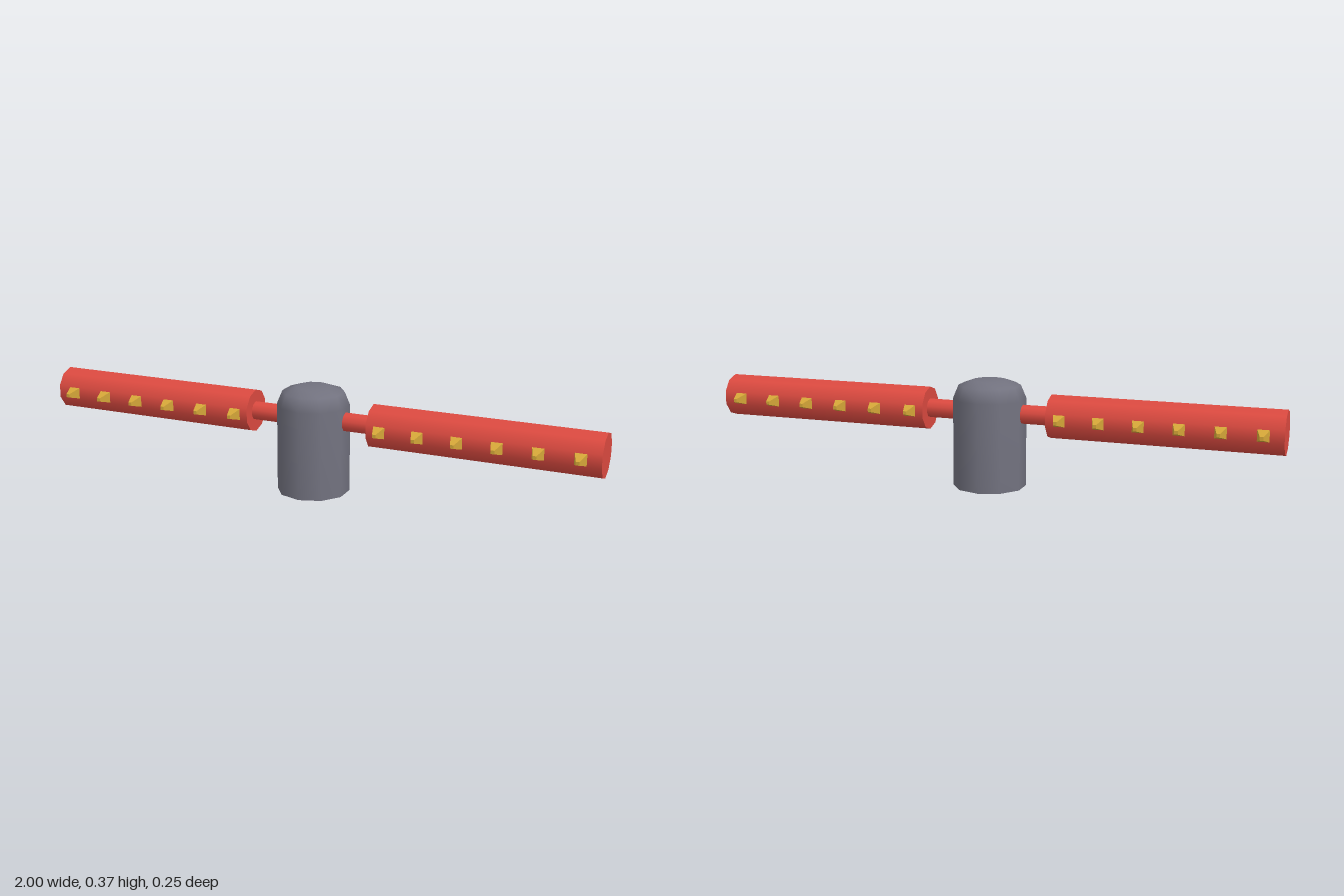
import * as THREE from 'three';

const SIDES = 10;
const AXIS_Y = 0.259;

const grey = new THREE.MeshStandardMaterial({ color: 0x72727f });
const red = new THREE.MeshStandardMaterial({ color: 0xdc4a40 });
const gold = new THREE.MeshStandardMaterial({ color: 0xd4a638, flatShading: true });

function addMesh(parent, name, geometry, material) {
  const mesh = new THREE.Mesh(geometry, material);
  mesh.name = name;
  parent.add(mesh);
  return mesh;
}

// Cylinder lying along x between two positions, with a corner pointing up
function bar(radius, x0, x1) {
  return new THREE.CylinderGeometry(radius, radius, x1 - x0, SIDES)
    .rotateY(Math.PI / 2)
    .rotateZ(Math.PI / 2)
    .translate((x0 + x1) / 2, AXIS_Y, 0);
}

// Blunt four-sided spike pointing along +z
function spikeGeometry() {
  return new THREE.CylinderGeometry(0.006 * Math.SQRT2, 0.02 * Math.SQRT2, 0.046, 4)
    .rotateY(Math.PI / 4)
    .rotateX(Math.PI / 2)
    .translate(0, 0, 0.093);
}

export function createModel() {
  const model = new THREE.Group();
  model.name = 'spikedSpinner';

  // Central post with a rounded top and a flat underside
  const profile = [[0.126, 0], [0.126, 0.308], [0.107, 0.354], [0.06, 0.371], [0, 0.371]]
    .map(([r, y]) => new THREE.Vector2(r, y));
  addMesh(model, 'post', new THREE.LatheGeometry(profile, SIDES), grey);
  const base = new THREE.CircleGeometry(0.126, SIDES).rotateZ(Math.PI / 2).rotateX(Math.PI / 2);
  addMesh(model, 'postBase', base, grey);

  // Thin axle running through the post
  addMesh(model, 'axle', bar(0.033, -0.24, 0.24), red);

  // Two thick arms, each with a row of spikes on the front and the back
  const spike = spikeGeometry();
  for (const side of [1, -1]) {
    const arm = new THREE.Group();
    arm.name = side > 0 ? 'leftArm' : 'rightArm';
    addMesh(arm, 'roller', side > 0 ? bar(0.075, 0.221, 1) : bar(0.075, -1, -0.221), red);
    for (let i = 0; i < 6; i++) {
      for (const turn of [0, Math.PI]) {
        const mesh = addMesh(arm, turn ? 'backSpike' : 'frontSpike', spike, gold);
        mesh.position.set(side * (0.268 + i * 0.1332), AXIS_Y, 0);
        mesh.rotation.y = turn;
      }
    }
    model.add(arm);
  }
  return model;
}
